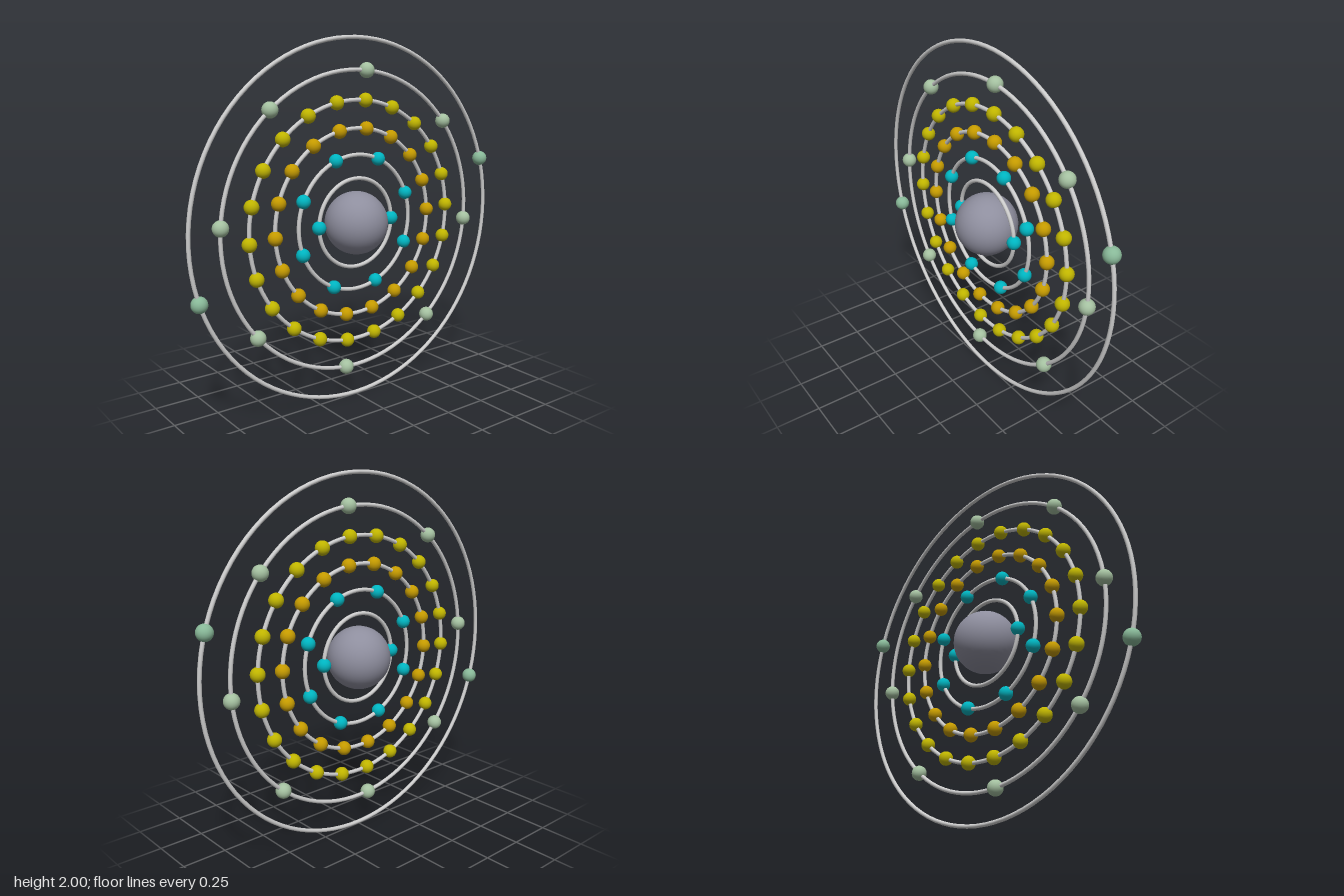
import * as THREE from 'three';

// Orbit rings, inside out: radius, bead count, bead size, first bead angle (degrees), colour
const ORBITS = [
  { radius: 0.245, count: 2, size: 0.038, start: 0, color: 0x00b4c0 },
  { radius: 0.373, count: 8, size: 0.038, start: 21.1, color: 0x00b4c0 },
  { radius: 0.515, count: 18, size: 0.039, start: 2.3, color: 0xc49a00 },
  { radius: 0.665, count: 22, size: 0.039, start: 2.8, color: 0xbfb400 },
  { radius: 0.822, count: 8, size: 0.042, start: -4.9, color: 0xa4c0a0 },
  { radius: 0.989, count: 2, size: 0.043, start: 17, color: 0x88b898 },
];

export function createModel() {
  const model = new THREE.Group();
  model.name = 'atomModel';
  const ringMaterial = new THREE.MeshStandardMaterial({ color: 0xcccccc });

  function add(parent, name, geometry, material) {
    const mesh = new THREE.Mesh(geometry, material);
    mesh.name = name;
    parent.add(mesh);
    return mesh;
  }

  // Central ball
  const nucleusMaterial = new THREE.MeshStandardMaterial({ color: 0x8e8e9e });
  add(model, 'nucleus', new THREE.SphereGeometry(0.174, 40, 28), nucleusMaterial).position.y = 1;

  // Flat concentric shells, each a thin ring with evenly spaced beads
  ORBITS.forEach(({ radius, count, size, start, color }, i) => {
    const shell = new THREE.Group();
    shell.name = `shell${i + 1}`;
    shell.position.y = 1;
    model.add(shell);

    add(shell, 'orbitRing', new THREE.TorusGeometry(radius, 0.011, 12, 96), ringMaterial);

    const beadGeometry = new THREE.SphereGeometry(size, 24, 16);
    const beadMaterial = new THREE.MeshStandardMaterial({ color });
    for (let k = 0; k < count; k++) {
      const a = THREE.MathUtils.degToRad(start + (k * 360) / count);
      add(shell, 'electron', beadGeometry, beadMaterial)
        .position.set(radius * Math.cos(a), radius * Math.sin(a), 0);
    }
  });

  return model;
}
